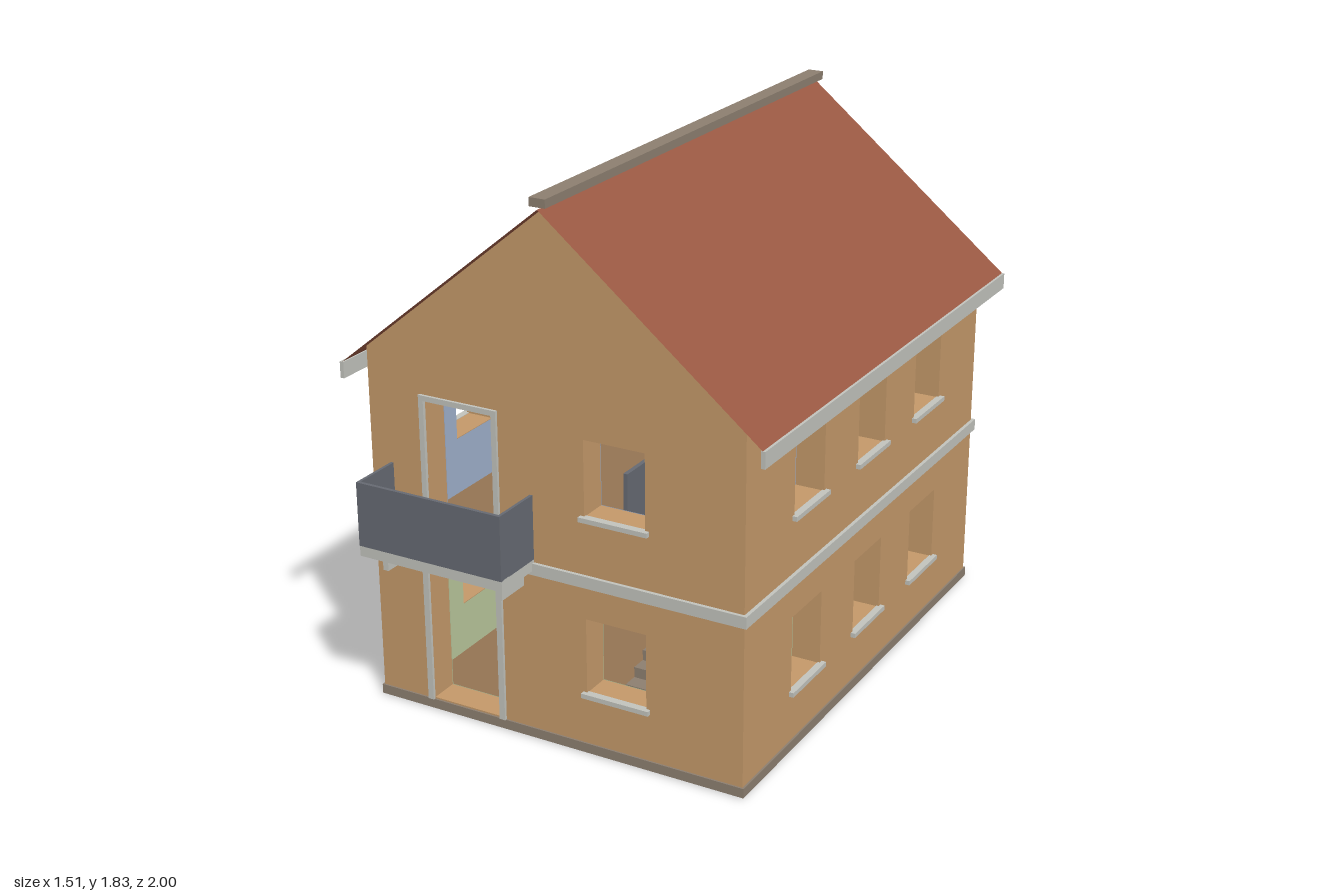
import * as THREE from 'three';

const mat = (name, color, side = THREE.FrontSide) => {
  const m = new THREE.MeshStandardMaterial({ color, side });
  m.name = name;
  return m;
};

export function createModel() {
  const house = new THREE.Group();
  house.name = 'house';
  const wall = mat('ochre wall', 0xc4996a);
  const roofRed = mat('roof red', 0x9a5843, THREE.DoubleSide);
  const trim = mat('light trim', 0xc2c3bd);
  const stone = mat('brown grey stone', 0x8d7f70);
  const rail = mat('dark rail', 0x666a72);
  const green = mat('green wallpaper', 0xb9c79c, THREE.DoubleSide);
  const blue = mat('blue wallpaper', 0x9fb0cc, THREE.DoubleSide);
  const wood = mat('wood floor', 0x947453);

  const X = 0.675, ZF = 0.815, ZB = -0.955, T = 0.1, EAVE = 1.24, RIDGE = 1.79;

  const add = (name, geo, m) => {
    const mesh = new THREE.Mesh(geo, m);
    mesh.name = name;
    house.add(mesh);
    return mesh;
  };
  // Box given by its limits on each axis
  const box = (name, m, x0, x1, y0, y1, z0, z1) => {
    const b = add(name, new THREE.BoxGeometry(x1 - x0, y1 - y0, z1 - z0), m);
    b.position.set((x0 + x1) / 2, (y0 + y1) / 2, (z0 + z1) / 2);
    return b;
  };
  const shapeOf = (pts, holes) => {
    const s = new THREE.Shape(pts.map(p => new THREE.Vector2(...p)));
    for (const [a, b, c, d] of holes) {
      s.holes.push(new THREE.Path([[a, c], [a, d], [b, d], [b, c]].map(p => new THREE.Vector2(...p))));
    }
    return s;
  };
  const rect = (a, b, c, d) => [[a, c], [b, c], [b, d], [a, d]];
  const solid = (shape, depth) => new THREE.ExtrudeGeometry(shape, { depth, bevelEnabled: false });

  // Openings as [from, to, bottom, top]
  const LOW = [0.215, 0.475], HIGH = [0.825, 1.08];
  const sideSpans = [[0.28, 0.49], [-0.18, 0.03], [-0.635, -0.42]];
  const gableSpan = [0.12, 0.335];
  const sideLow = sideSpans.map(s => [...s, ...LOW]);
  const sideHigh = sideSpans.map(s => [...s, ...HIGH]);
  const door = [-0.47, -0.21, 0.04, 0.512];
  const balconyDoor = [-0.46, -0.207, 0.64, 1.097];
  const right = [...gableSpan, ...HIGH], left = [-0.335, -0.12, ...HIGH];
  const lower = [...gableSpan, ...LOW];

  // Gable walls with painted inner faces
  const gable = [[-X, 0], [X, 0], [X, EAVE], [0, RIDGE], [-X, EAVE]];
  const xi = X - T;
  for (const [name, z, zi, low, high] of [
    ['frontWall', ZF - T, ZF - T - 0.003, [door, lower], [balconyDoor, right]],
    ['backWall', ZB, ZB + T + 0.003, [door, lower], [left, right]],
  ]) {
    add(name, solid(shapeOf(gable, [...low, ...high]), T), wall).position.z = z;
    add(name + 'LowerPaper', new THREE.ShapeGeometry(shapeOf(rect(-xi, xi, 0.036, 0.59), low)), green).position.z = zi;
    add(name + 'UpperPaper', new THREE.ShapeGeometry(shapeOf(rect(-xi, xi, 0.63, 1.21), high)), blue).position.z = zi;
  }

  // Side walls
  const z0 = ZB + T, z1 = ZF - T;
  for (const s of [1, -1]) {
    const name = s > 0 ? 'leftWall' : 'rightWall';
    const w = add(name, solid(shapeOf(rect(z0, z1, 0, EAVE), [...sideLow, ...sideHigh]), T).rotateY(-Math.PI / 2), wall);
    w.position.x = s > 0 ? X : -X + T;
    const paper = (n, a, b, holes, m) => {
      add(name + n, new THREE.ShapeGeometry(shapeOf(rect(z0, z1, a, b), holes)).rotateY(-Math.PI / 2), m)
        .position.x = s * (xi - 0.003);
    };
    paper('LowerPaper', 0.036, 0.59, sideLow, green);
    paper('UpperPaper', 0.63, 1.21, sideHigh, blue);
  }

  // Window sills
  for (const y of [LOW[0], HIGH[0]]) {
    for (const s of [1, -1]) {
      for (const [a, b] of sideSpans) {
        const c = s * (X + 0.003), d = s * 0.012;
        box('sideSill', trim, c - 0.012, c + 0.012, y - 0.014, y + 0.002, a - 0.014, b + 0.014).position.x = c + d * 0.1;
      }
    }
    const [a, b] = gableSpan;
    box('frontSill', trim, a - 0.014, b + 0.014, y - 0.014, y + 0.002, ZF - 0.01, ZF + 0.016);
    box('backSill', trim, a - 0.014, b + 0.014, y - 0.014, y + 0.002, ZB - 0.016, ZB + 0.01);
  }
  box('backSill', trim, left[0] - 0.014, left[1] + 0.014, HIGH[0] - 0.014, HIGH[0] + 0.002, ZB - 0.016, ZB + 0.01);

  // Bands running around the house
  const ring = (name, m, out, y0, y1) => {
    const g = solid(shapeOf(rect(-X - out, X + out, -ZF - out, -ZB + out), [[-X, X, -ZF, -ZB]]), y1 - y0);
    add(name, g.rotateX(-Math.PI / 2), m).position.y = y0;
  };
  ring('plinth', stone, 0.006, 0.002, 0.035);
  ring('stringCourse', trim, 0.012, 0.588, 0.628);

  // Door surrounds: an upside-down U of trim
  const surround = (name, m, [a, b, c, d], w, depth, z) => {
    const pts = [[a - w, c], [a, c], [a, d], [b, d], [b, c], [b + w, c], [b + w, d + w], [a - w, d + w]];
    add(name, solid(shapeOf(pts, []), depth), m).position.z = z;
  };
  surround('frontDoorTrim', trim, [-0.47, -0.21, 0.035, 0.512], 0.021, 0.012, ZF - 0.002);
  surround('balconyDoorTrim', trim, balconyDoor, 0.018, 0.012, ZF - 0.002);
  surround('backDoorTrim', trim, [-0.47, -0.21, 0.035, 0.512], 0.021, 0.012, ZB - 0.01);
  surround('backDoorFrame', stone, [-0.442, -0.237, 0.037, 0.482], 0.028, 0.04, ZB + 0.03);

  // Floors and ceilings, with an opening over the stairs
  box('groundSlab', stone, -xi, xi, 0.001, 0.03, z0, z1);
  box('groundFloor', wood, -xi, xi, 0.03, 0.036, z0, z1);
  const well = [0.1, 0.42, -0.45, 0.3];
  const deck = (name, m, y, h) => {
    const g = solid(shapeOf(rect(-xi, xi, -z1, -z0), [well]), h);
    add(name, g.rotateX(-Math.PI / 2), m).position.y = y;
  };
  deck('lowerCeiling', trim, 0.588, 0.034);
  deck('upperFloor', wood, 0.622, 0.006);
  box('upperCeiling', trim, -xi, xi, 1.21, 1.238, z0, z1);

  // Stairs and the guard beside the opening
  const steps = 16, rise = 0.59 / steps, run = 0.9 / steps;
  for (let i = 0; i < steps; i++) {
    const top = 0.036 + rise * (i + 1), z = 0.6 - run * i;
    box('stairStep', stone, 0.1, 0.42, Math.max(0.036, top - 0.07), top, z - run, z);
  }
  box('stairGuard', rail, 0.085, 0.1, 0.628, 0.85, -0.3, 0.52);

  // Balcony
  const bx0 = -0.603, bx1 = -0.067, bz = 0.998;
  box('balconySlab', trim, bx0, bx1, 0.602, 0.64, ZF, bz);
  box('balconyFront', rail, bx0, bx1, 0.638, 0.857, bz - 0.01, bz + 0.002);
  box('balconySide', rail, bx0, bx0 + 0.01, 0.638, 0.857, ZF, bz - 0.01);
  box('balconySide', rail, bx1 - 0.01, bx1, 0.638, 0.857, ZF, bz - 0.01);
  for (const x of [-0.55, -0.117]) box('balconyBracket', trim, x - 0.01, x + 0.01, 0.538, 0.602, ZF, 0.94);

  // Roof sheets, eaves boards and ridge cap
  const rz0 = -1, rz1 = 0.853, rx = 0.75, ry = RIDGE + 0.003 - rx * (RIDGE - EAVE) / X;
  for (const s of [1, -1]) {
    const len = Math.hypot(rx, RIDGE + 0.003 - ry);
    const g = new THREE.PlaneGeometry(len, rz1 - rz0).rotateX(-Math.PI / 2);
    const sheet = add('roofSheet', g, roofRed);
    sheet.rotation.z = -s * Math.atan2(RIDGE + 0.003 - ry, rx);
    sheet.position.set(s * rx / 2, (RIDGE + 0.003 + ry) / 2, (rz0 + rz1) / 2);
    const c = s * 0.748;
    box('eavesBoard', trim, c - 0.007, c + 0.007, 1.13, 1.185, rz0, rz1);
  }
  box('ridgeCap', stone, -0.028, 0.028, 1.8, 1.828, rz0, rz1);

  return house;
}
